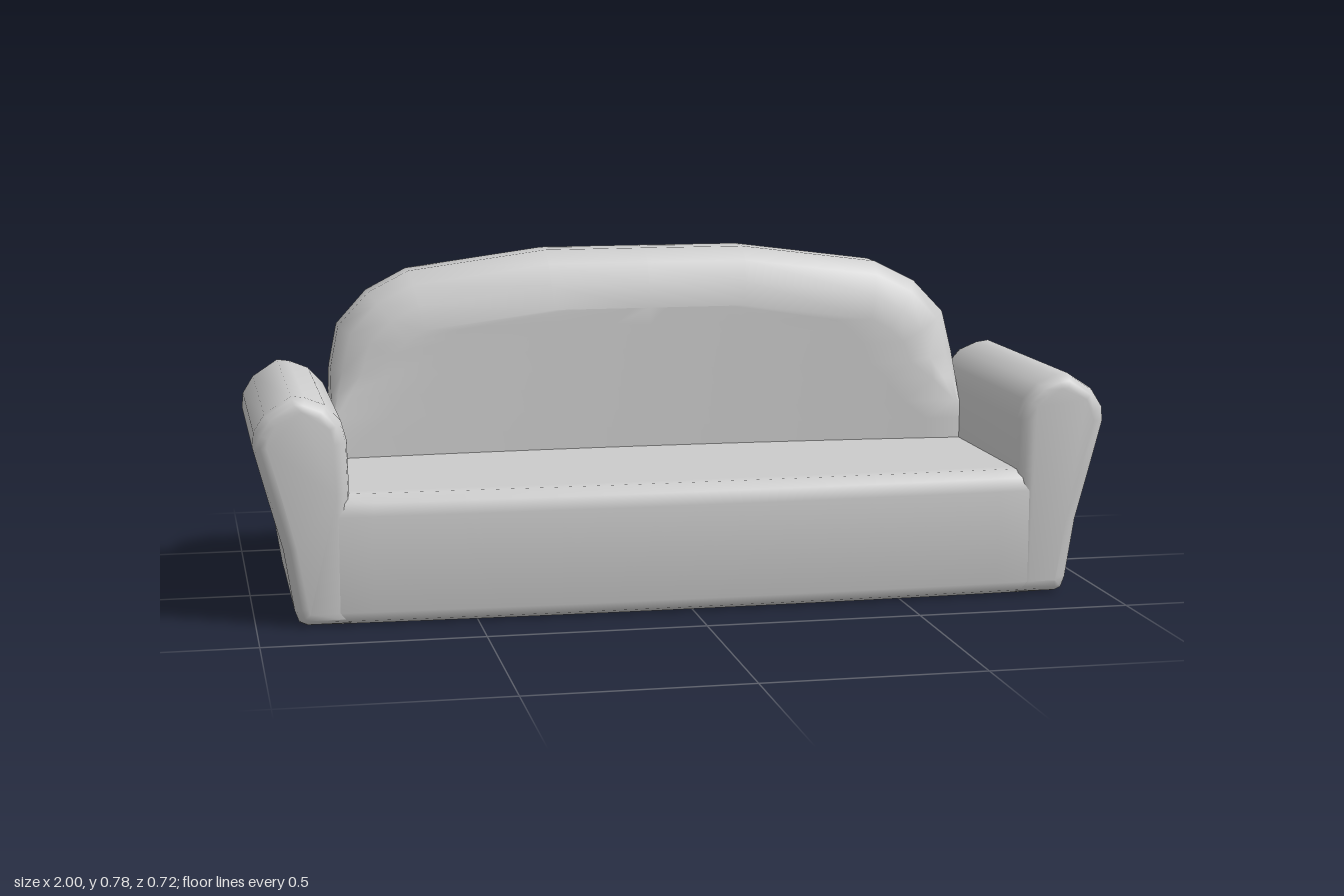
import * as THREE from 'three';
import { toCreasedNormals } from 'three/addons/utils/BufferGeometryUtils.js';

const material = new THREE.MeshStandardMaterial({ color: 0xcccccc });

function addPart(group, name, geometry) {
  const mesh = new THREE.Mesh(toCreasedNormals(geometry, 1.0), material);
  mesh.name = name;
  group.add(mesh);
}

// Skin a list of closed cross-section loops
function skin(rows) {
  const n = rows[0].length;
  const index = [];
  for (let i = 0; i < rows.length - 1; i++) {
    for (let j = 0; j < n; j++) {
      const k = (j + 1) % n;
      const a = i * n + j, b = i * n + k, c = a + n, d = b + n;
      index.push(a, b, d, a, d, c);
    }
  }
  const geometry = new THREE.BufferGeometry();
  geometry.setAttribute('position', new THREE.Float32BufferAttribute(rows.flat(2), 3));
  geometry.setIndex(index);
  return geometry;
}

// Seat body: side profile carried across x, its front bowing out in the middle
function seatGeometry() {
  const profile = [
    [-0.2, 0.3], [0.31, 0.3], [0.335, 0.299], [0.353, 0.28], [0.36, 0.25],
    [0.36, 0.03], [0.355, 0.01], [0.335, 0], [-0.245, 0],
  ];
  const rows = [];
  for (let i = 0; i <= 16; i++) {
    const x = -0.84 + (1.68 * i) / 16;
    rows.push(profile.map(([z, y]) => [x, y, z + (z > 0 ? -0.024 : 0.05) * x * x]));
  }
  return skin(rows);
}

// Backrest: domed outline, leaning back, bowed, with a soft rim
function backrestGeometry() {
  // half width, height, amount of rim rounding
  const outline = [
    [0.84, 0, 0], [0.84, 0.03, 0], [0.84, 0.2, 0], [0.84, 0.35, 0], [0.787, 0.4, 0.1],
    [0.788, 0.45, 0.5], [0.786, 0.51, 0.9], [0.765, 0.61, 1], [0.69, 0.69, 1],
    [0.59, 0.74, 1], [0.25, 0.783, 1], [0, 0.783, 1],
  ];
  // inset from the outline and depth behind the front / before the back
  const frontRim = [[0.14, 0], [0.08, 0.012], [0.03, 0.035], [0, 0.08]];
  const backRim = [[0, 0.045], [0.02, 0.012], [0.06, 0]];
  const last = outline.length - 1;
  const columns = 12;

  const rows = outline.map(([w, y, round], i) => {
    const p = outline[Math.max(i - 1, 0)], q = outline[Math.min(i + 1, last)];
    const normal = new THREE.Vector2(q[1] - p[1], p[0] - q[0]).normalize();
    if (i === last) normal.set(0, 1);
    const point = (side, [inset, depth], back) => {
      const x = side * Math.max(w - inset * round * normal.x, 0);
      const py = y - inset * round * normal.y;
      const z = back
        ? -0.27 - 0.13 * py + depth * round + (i === 0 ? 0.025 : 0)
        : -0.14 - 0.04 * py - depth * round;
      return [x, py, z + 0.05 * x * x];
    };
    const loop = [];
    for (let c = 0; c <= columns; c++) loop.push(point((2 * c) / columns - 1, frontRim[0], false));
    frontRim.slice(1).forEach((r) => loop.push(point(1, r, false)));
    backRim.slice(0, -1).forEach((r) => loop.push(point(1, r, true)));
    for (let c = 0; c <= columns; c++) loop.push(point(1 - (2 * c) / columns, backRim[2], true));
    backRim.slice(0, -1).reverse().forEach((r) => loop.push(point(-1, r, true)));
    frontRim.slice(1).reverse().forEach((r) => loop.push(point(-1, r, false)));
    // the tip row closes onto the centre line
    return i === last ? loop.map(([, py, z]) => [0, py, z]) : loop;
  });
  return skin(rows);
}

// Arm: flared front profile run back to a sloping rear face
function armGeometry(side) {
  const profile = [
    [0.785, 0], [0.885, 0], [0.903, 0.008], [0.913, 0.035], [0.935, 0.175], [0.965, 0.285],
    [0.998, 0.41], [0.995, 0.445], [0.97, 0.485], [0.91, 0.524], [0.88, 0.52],
    [0.835, 0.502], [0.8, 0.465], [0.788, 0.42], [0.785, 0.3],
  ];
  const shape = new THREE.Shape(profile.map(([x, y]) => new THREE.Vector2(side * x, y)));
  const bevel = 0.03, length = 0.59;
  const geometry = new THREE.ExtrudeGeometry(shape, {
    depth: length - 2 * bevel, bevelEnabled: true, bevelThickness: bevel,
    bevelSize: bevel, bevelOffset: -bevel, bevelSegments: 3,
  });
  const pos = geometry.attributes.position;
  for (let i = 0; i < pos.count; i++) {
    const t = (length - bevel - pos.getZ(i)) / length;
    pos.setZ(i, 0.345 - t * (0.586 + 0.138 * pos.getY(i)));
  }
  return geometry;
}

export function createModel() {
  const sofa = new THREE.Group();
  sofa.name = 'sofa';
  addPart(sofa, 'seat', seatGeometry());
  addPart(sofa, 'backrest', backrestGeometry());
  addPart(sofa, 'leftArm', armGeometry(1));
  addPart(sofa, 'rightArm', armGeometry(-1));
  return sofa;
}
